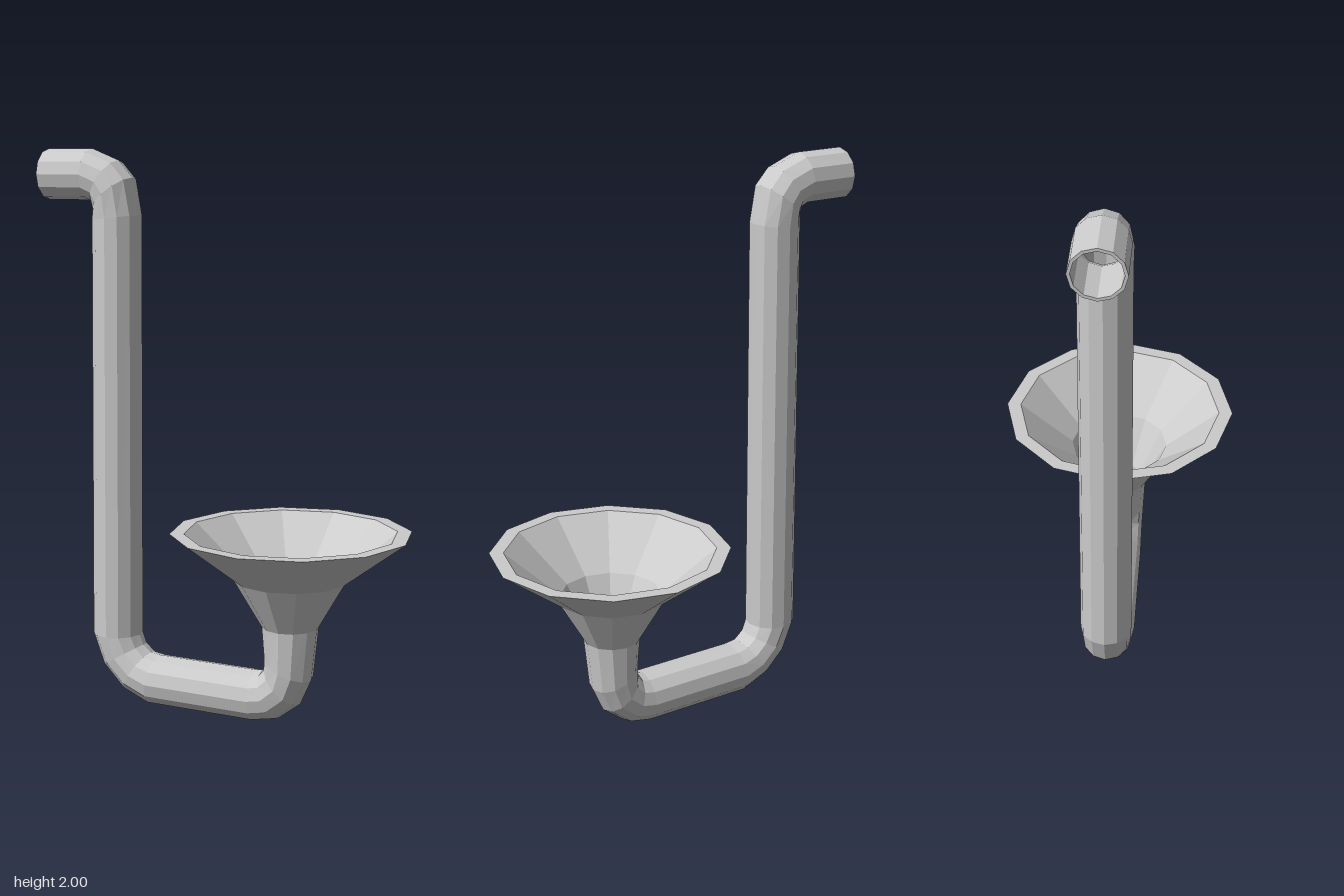
import * as THREE from 'three';

const SIDES = 12;

// A ring spans two opposite wall points a and b in the z = 0 plane.
function ring(ax, ay, bx, by, scale = 1) {
  const c = new THREE.Vector3((ax + bx) / 2, (ay + by) / 2, 0);
  const h = new THREE.Vector3((ax - bx) / 2, (ay - by) / 2, 0).multiplyScalar(scale);
  const r = h.length();
  return Array.from({ length: SIDES }, (_, j) => {
    const t = (j / SIDES) * Math.PI * 2;
    return c.clone().addScaledVector(h, Math.cos(t)).setZ(r * Math.sin(t));
  });
}

// Skin a list of rings with flat quads.
function skin(name, rings) {
  const points = [], index = [];
  rings.forEach((r) => r.forEach((p) => points.push(p.x, p.y, p.z)));
  for (let i = 0; i < rings.length - 1; i++) {
    for (let j = 0; j < SIDES; j++) {
      const k = (j + 1) % SIDES;
      const a = i * SIDES + j, b = i * SIDES + k;
      index.push(a, b, b + SIDES, a, b + SIDES, a + SIDES);
    }
  }
  const geometry = new THREE.BufferGeometry();
  geometry.setAttribute('position', new THREE.Float32BufferAttribute(points, 3));
  geometry.setIndex(index);
  geometry.computeVertexNormals();
  const material = new THREE.MeshStandardMaterial({ color: 0xcccccc, flatShading: true });
  const mesh = new THREE.Mesh(geometry, material);
  mesh.name = name;
  return mesh;
}

export function createModel() {
  const group = new THREE.Group();
  group.name = 'hornPipe';

  // Pipe walls from the open end down, across and up to the bell: [ax, ay, bx, by]
  const walls = [
    [-0.69, 2.0, -0.69, 1.82],
    [-0.51, 2.0, -0.52, 1.82],
    [-0.405, 1.96, -0.5, 1.81],
    [-0.35, 1.9, -0.495, 1.79],
    [-0.325, 1.77, -0.5, 1.75],
    [-0.335, 0.25, -0.515, 0.25],
    [-0.32, 0.215, -0.47, 0.13],
    [-0.29, 0.19, -0.385, 0.045],
    [-0.25, 0.185, -0.28, 0.003],
    [0.14, 0.185, 0.14, 0.003],
    [0.165, 0.19, 0.225, 0.02],
    [0.18, 0.21, 0.31, 0.085],
    [0.18, 0.25, 0.35, 0.175],
    [0.17, 0.36, 0.37, 0.36],
  ];
  const outer = walls.map((w) => ring(...w));
  const inner = walls.map((w) => ring(...w, 0.88)).reverse();
  // Inner wall first, then the thin end lip, then the outer wall
  group.add(skin('pipe', [...inner, ...outer]));

  // Bell: flared outside, flat rim, hollow inside: [radius, height]
  const bell = [[0.1, 0.36], [0.2, 0.53], [0.42, 0.695], [0.37, 0.695], [0.178, 0.53], [0.088, 0.36]];
  group.add(skin('bell', bell.map(([r, y]) => ring(0.27 - r, y, 0.27 + r, y))));
  return group;
}
